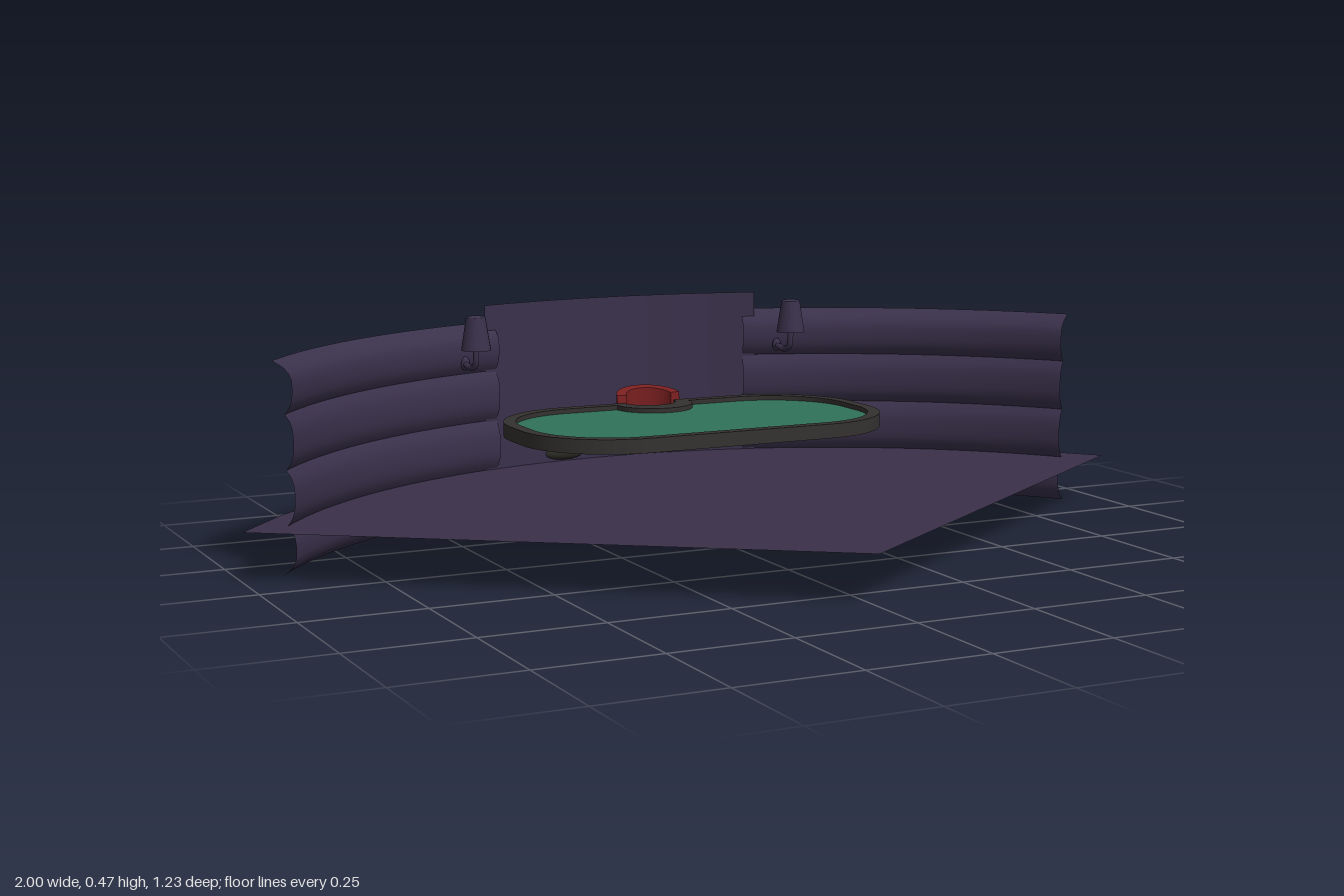
import * as THREE from 'three';

const mat = (name, color, double = false) => {
  const m = new THREE.MeshStandardMaterial({ color });
  m.name = name;
  if (double) m.side = THREE.DoubleSide;
  return m;
};

// Sheet swept round the room's centre (0, 0.5); each profile row is [radius, height]
function curvedSheet(profile, a0, a1, segments) {
  const pos = [], idx = [], n = segments + 1;
  for (const [r, y] of profile)
    for (let i = 0; i < n; i++) {
      const a = a0 + (a1 - a0) * i / segments;
      pos.push(r * Math.sin(a), y, 0.5 - r * Math.cos(a));
    }
  for (let j = 0; j < profile.length - 1; j++)
    for (let i = 0; i < segments; i++) {
      const p = j * n + i;
      idx.push(p, p + 1, p + n, p + 1, p + n + 1, p + n);
    }
  const g = new THREE.BufferGeometry();
  g.setAttribute('position', new THREE.Float32BufferAttribute(pos, 3));
  g.setIndex(idx);
  g.computeVertexNormals();
  return g;
}

// Rounded table outline with a round notch at the back, drawn in (x, -z)
function tableOutline(inset, Path = THREE.Shape) {
  const w = 0.405 - inset, f = -0.05 + inset, b = 0.415 - inset, r = 0.2 - inset;
  const n = 0.06 + inset, s = new Path();
  s.moveTo(-w + r, f);
  s.lineTo(w - r, f);
  s.absarc(w - r, f + r, r, -Math.PI / 2, 0, false);
  s.lineTo(w, b - r);
  s.absarc(w - r, b - r, r, 0, Math.PI / 2, false);
  s.lineTo(n, b);
  s.absarc(0, b, n, 0, -Math.PI, true);
  s.lineTo(-w + r, b);
  s.absarc(-w + r, b - r, r, Math.PI / 2, Math.PI, false);
  s.lineTo(-w, f + r);
  s.absarc(-w + r, f + r, r, Math.PI, Math.PI * 1.5, false);
  return s;
}

function slab(shape, depth, y) {
  const g = new THREE.ExtrudeGeometry(shape, { depth, bevelEnabled: false, curveSegments: 16 });
  return g.rotateX(-Math.PI / 2).translate(0, y, 0);
}

export function createModel() {
  const model = new THREE.Group();
  const purple = mat('purple wall', 0x3a314b, true);
  const felt = mat('green felt', 0x30735a);
  const rim = mat('dark rim', 0x343230);
  const red = mat('red upholstery', 0x7c2020);
  const olive = mat('dark olive', 0x2c2d26);
  const add = (name, geo, material, parent = model) => {
    const m = new THREE.Mesh(geo, material);
    m.name = name;
    parent.add(m);
    return m;
  };

  // Fan-shaped floor
  const edge = [[0, 0.61], [1, -0.11], [0.88, -0.25], [0.72, -0.39], [0.52, -0.49], [0.33, -0.57], [0, -0.62],
    [-0.33, -0.57], [-0.52, -0.49], [-0.72, -0.39], [-0.88, -0.25], [-1, -0.11]];
  const floor = new THREE.Shape(edge.map(([x, z]) => new THREE.Vector2(x, -z)));
  add('floor', new THREE.ShapeGeometry(floor).rotateX(-Math.PI / 2).translate(0, 0.1, 0), purple);

  // Plain centre wall
  add('centreWall', curvedSheet([[1.1, 0.1], [1.1, 0.465]], -0.305, 0.305, 20), purple);

  // Scalloped side walls: four bands, the top one flaring outward
  const heights = [0, 0.1, 0.21, 0.32, 0.425], cusps = [1.115, 1.102, 1.102, 1.102, 1.125];
  for (const side of [-1, 1]) {
    const wall = new THREE.Group();
    wall.name = side > 0 ? 'leftWall' : 'rightWall';
    model.add(wall);
    for (let b = 0; b < 4; b++) {
      const profile = [];
      for (let k = 0; k <= 8; k++) {
        const t = k / 8, u = 2 * t - 1;
        const tip = u < 0 ? cusps[b] : cusps[b + 1];
        profile.push([1.086 + (tip - 1.086) * Math.abs(u) ** 3, heights[b] + (heights[b + 1] - heights[b]) * t]);
      }
      const from = side > 0 ? 0.279 : -0.96, to = side > 0 ? 0.96 : -0.279;
      add('wallBand', curvedSheet(profile, from, to, 20), purple, wall);
    }

    // Wall lamp with shade, stem and bracket
    const lamp = new THREE.Group();
    lamp.name = 'wallLamp';
    lamp.position.set(side * 0.38 - 0.01, 0, -0.445);
    model.add(lamp);
    add('shade', new THREE.CylinderGeometry(0.021, 0.032, 0.07, 20).translate(0, 0.417, 0), purple, lamp);
    add('shadeTop', new THREE.SphereGeometry(0.021, 16, 6, 0, Math.PI * 2, 0, Math.PI / 2)
      .scale(1, 0.2, 1).translate(0, 0.452, 0), purple, lamp);
    const path = new THREE.CatmullRomCurve3([[0.39, 0], [0.35, -0.005], [0.34, -0.03], [0.345, -0.075]]
      .map(([y, z]) => new THREE.Vector3(0, y, z)));
    add('bracket', new THREE.TubeGeometry(path, 12, 0.007, 8), purple, lamp);
    add('bracketPlate', new THREE.SphereGeometry(0.013, 12, 8).scale(0.8, 1.2, 0.6)
      .translate(0, 0.345, -0.068), purple, lamp);
  }

  // Table: felt bed inside a raised rim
  const table = new THREE.Group();
  table.name = 'table';
  model.add(table);
  const ring = tableOutline(0);
  ring.holes.push(tableOutline(0.026, THREE.Path));
  add('tableRim', slab(ring, 0.03, 0.22), rim, table);
  add('tableFelt', slab(tableOutline(0.024), 0.014, 0.226), felt, table);

  // Chair in the notch: round seat, foot and curved red back
  const chair = new THREE.Group();
  chair.name = 'chair';
  chair.position.set(0, 0, -0.4);
  model.add(chair);
  add('seat', new THREE.CylinderGeometry(0.066, 0.06, 0.035, 24).translate(0, 0.205, 0), rim, chair);
  add('seatBand', new THREE.CylinderGeometry(0.062, 0.058, 0.012, 24).translate(0, 0.182, 0), felt, chair);
  add('foot', new THREE.CylinderGeometry(0.058, 0.066, 0.022, 24).translate(0, 0.165, 0), rim, chair);
  const arc = new THREE.Shape();
  arc.absarc(0, 0, 0.076, 0.15, Math.PI - 0.15, false);
  arc.absarc(0, 0, 0.054, Math.PI - 0.15, 0.15, true);
  const back = slab(arc, 0.065, 0.215);
  const p = back.attributes.position;
  for (let i = 0; i < p.count; i++)
    if (p.getY(i) > 0.25) {
      p.setY(i, 0.265 - p.getZ(i) * 0.2);
      p.setZ(i, p.getZ(i) * 0.8 - 0.006);
    }
  back.computeVertexNormals();
  add('chairBack', back, red, chair);

  // Small dark vent low in the centre wall
  add('wallVent', new THREE.SphereGeometry(1, 16, 8).scale(0.05, 0.016, 0.012).translate(-0.13, 0.119, -0.59), olive);

  return model;
}
